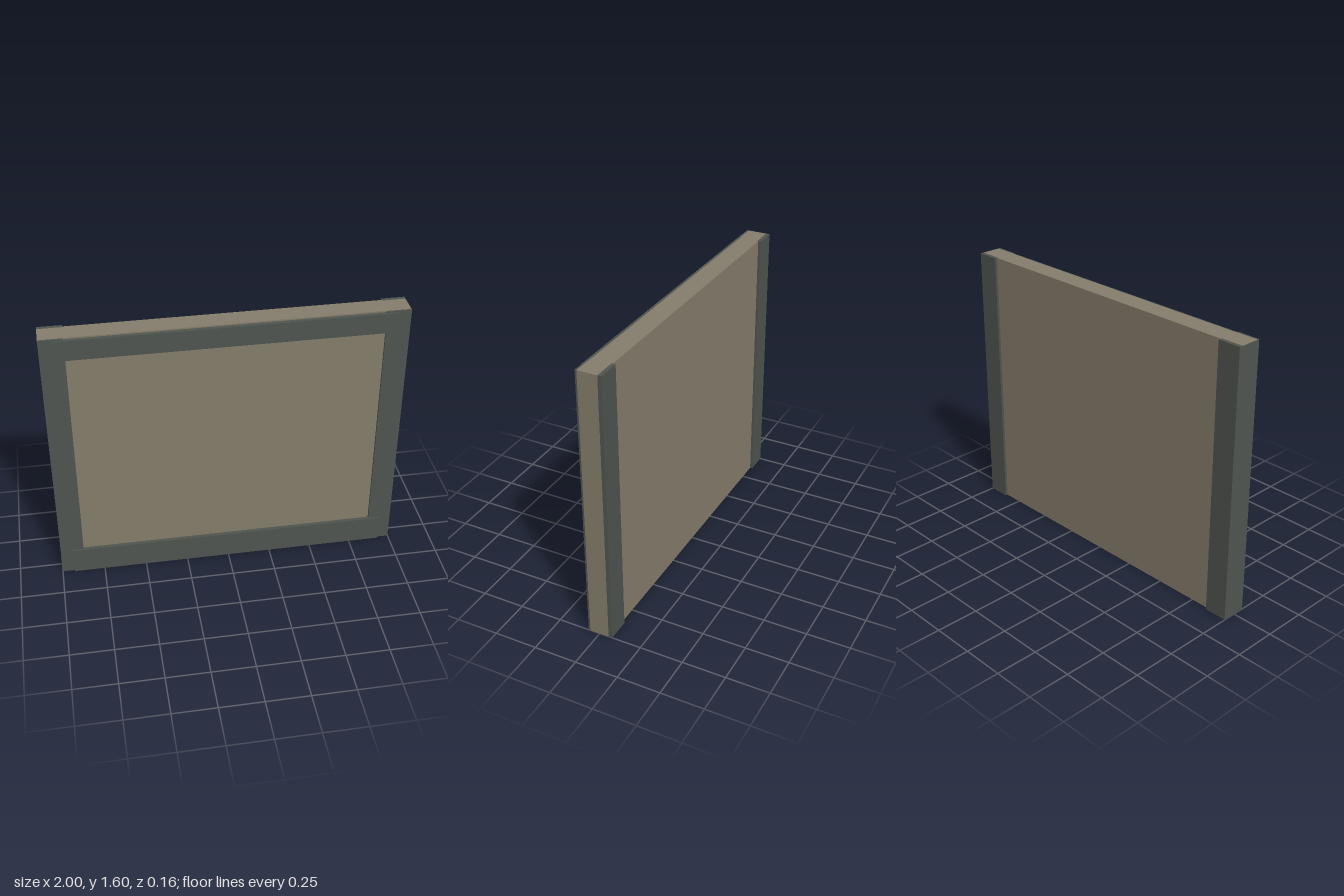
import * as THREE from 'three';

export function createModel() {
  const group = new THREE.Group();
  group.name = 'framedPanel';
  const beige = new THREE.MeshStandardMaterial({ color: 0x857d6c });
  beige.name = 'warm grey panel';
  const dark = new THREE.MeshStandardMaterial({ color: 0x505550 });
  dark.name = 'dark grey trim';

  // Box given by its lower and upper limits on each axis
  const addBox = (name, [x0, x1], [y0, y1], [z0, z1], material) => {
    const mesh = new THREE.Mesh(new THREE.BoxGeometry(x1 - x0, y1 - y0, z1 - z0), material);
    mesh.position.set((x0 + x1) / 2, (y0 + y1) / 2, (z0 + z1) / 2);
    mesh.name = name;
    group.add(mesh);
  };

  const height = [0, 1.6];
  const inner = 0.865;

  // Main slab
  addBox('panel', [-inner, inner], height, [-0.063, 0.056], beige);

  // Slab ends with upright boards on the front and back
  for (const side of [-1, 1]) {
    const name = side > 0 ? 'left' : 'right';
    const span = side > 0 ? [inner, 1] : [-1, -inner];
    const endMaterials = [beige, side > 0 ? beige : dark, beige, beige, beige, beige];
    addBox(name + 'PanelEnd', span, height, [-0.056, 0.058], endMaterials);
    addBox(name + 'FrontStile', span, height, [0.058, 0.068], dark);
    addBox(name + 'BackStile', span, height, [-0.078, -0.056], dark);
  }

  // Cross boards, lapped over the front stiles
  addBox('bottomRail', [-0.93, 0.93], [0, 0.16], [0.0685, 0.078], dark);
  addBox('topRail', [-0.93, 0.93], [1.473, 1.592], [0.0685, 0.078], dark);
  // Packing behind the cross boards, between the stiles
  addBox('bottomRailBacking', [-inner, inner], [0, 0.16], [0.056, 0.0685], dark);
  addBox('topRailBacking', [-inner, inner], [1.473, 1.592], [0.056, 0.0685], dark);

  return group;
}
